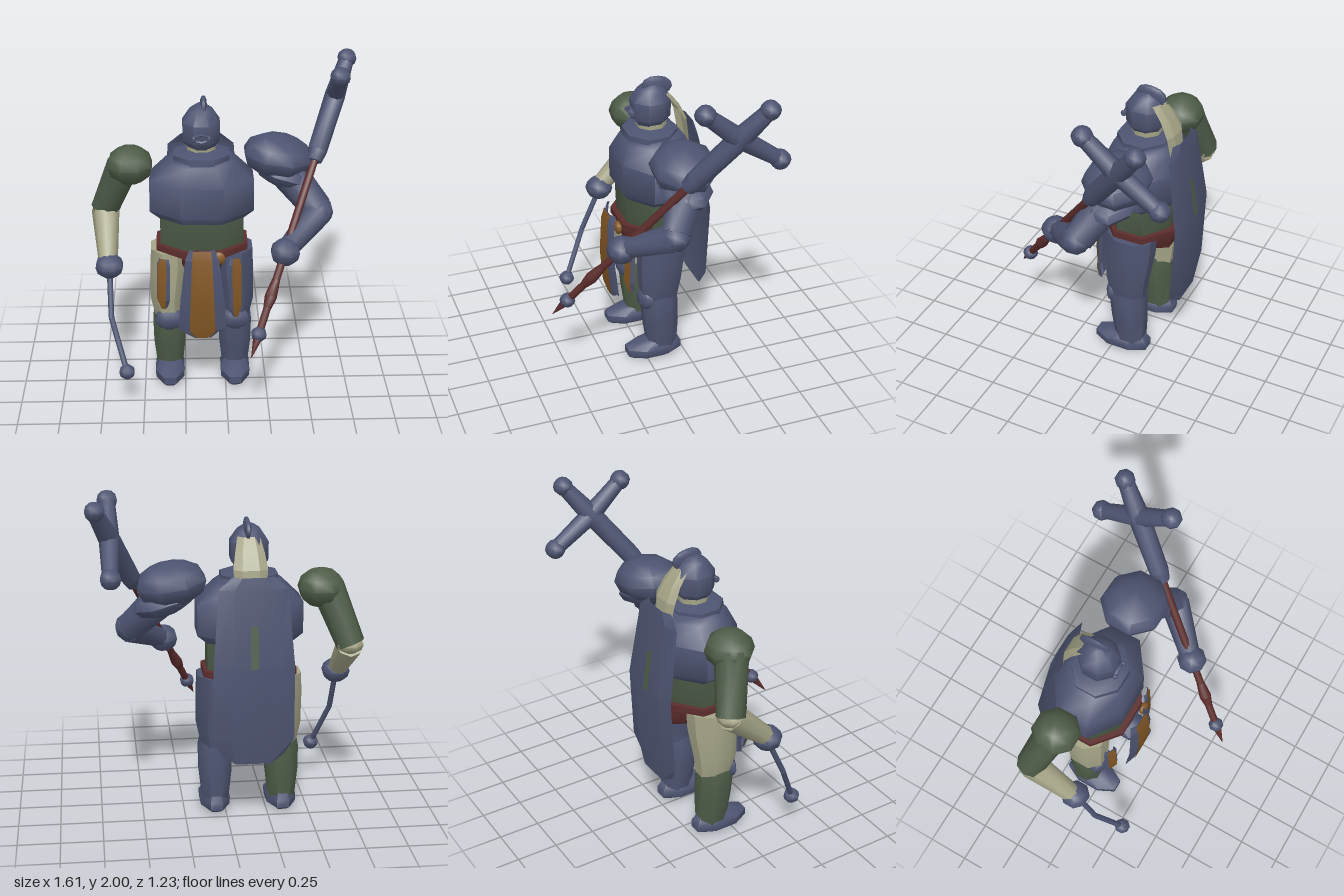
import * as THREE from 'three';
import { toCreasedNormals } from 'three/addons/utils/BufferGeometryUtils.js';

const V = (p) => new THREE.Vector3(...p);

export function createModel() {
  const model = new THREE.Group();
  model.name = 'armouredFighter';
  const mat = (name, color) => {
    const m = new THREE.MeshStandardMaterial({ color, side: THREE.DoubleSide });
    m.name = name;
    return m;
  };
  const steel = mat('steelBlue', 0x4d5471);
  const green = mat('mossGreen', 0x4d5c47);
  const cream = mat('paleCream', 0xa5a487);
  const red = mat('darkRed', 0x5c2d2c);
  const gold = mat('ochre', 0x835724);

  const add = (name, geo, material, crease = 0.85) => {
    const mesh = new THREE.Mesh(toCreasedNormals(geo, crease), material);
    mesh.name = name;
    model.add(mesh);
    return mesh;
  };

  // closed body through elliptical rings [x, y, z, rx, rz], listed bottom to top
  const loft = (name, material, rings, n = 8) => {
    const pos = [], idx = [], k = 1 / Math.cos(Math.PI / n);
    for (const [x, y, z, rx, rz] of rings) {
      for (let i = 0; i < n; i++) {
        const a = ((i + 0.5) / n) * Math.PI * 2;
        pos.push(x + Math.sin(a) * rx * k, y, z + Math.cos(a) * rz * k);
      }
    }
    const last = (rings.length - 1) * n, c0 = rings.length * n;
    const top = rings[rings.length - 1];
    pos.push(...rings[0].slice(0, 3), ...top.slice(0, 3));
    for (let i = 0; i < n; i++) {
      const j = (i + 1) % n;
      for (let r = 0; r < last; r += n) idx.push(r + i, r + j, r + n + j, r + i, r + n + j, r + n + i);
      idx.push(c0, j, i, c0 + 1, last + i, last + j);
    }
    const g = new THREE.BufferGeometry();
    g.setAttribute('position', new THREE.Float32BufferAttribute(pos, 3));
    g.setIndex(idx);
    return add(name, g, material);
  };

  // tapered cylinder between two points
  const limb = (name, material, a, b, ra, rb) => {
    const d = V(b).sub(V(a));
    const g = new THREE.CylinderGeometry(rb, ra, d.length(), 8);
    g.applyQuaternion(new THREE.Quaternion().setFromUnitVectors(new THREE.Vector3(0, 1, 0), d.normalize()));
    const c = V(a).add(V(b)).multiplyScalar(0.5);
    return add(name, g.translate(c.x, c.y, c.z), material);
  };

  const ball = (name, material, p, rx, ry = rx, rz = rx) => {
    const g = new THREE.SphereGeometry(1, 8, 6).rotateY(Math.PI / 8).scale(rx * 1.06, ry, rz * 1.06);
    const m = add(name, g, material);
    m.position.set(...p);
    return m;
  };

  // thin hanging panel: rows are [y, z, halfWidth]; the edges fold by "fold", the bottom is pointed by "point"
  const panel = (name, material, x, rows, fold, point, inner = 0.5) => {
    const pos = [], idx = [], cols = [-1, -inner, inner, 1];
    rows.forEach(([y, z, w], r) => cols.forEach((c) => {
      const edge = Math.abs(c) === 1;
      pos.push(c * w, y + (edge && r === rows.length - 1 ? point : 0), z + (edge ? fold : 0));
    }));
    for (let r = 0; r < rows.length - 1; r++) {
      for (let c = 0; c < 3; c++) {
        const a = r * 4 + c;
        idx.push(a, a + 4, a + 5, a, a + 5, a + 1);
      }
    }
    const g = new THREE.BufferGeometry();
    g.setAttribute('position', new THREE.Float32BufferAttribute(pos, 3));
    g.setIndex(idx);
    const m = add(name, g, material, 0.3);
    m.position.x = x;
    return m;
  };

  // torso
  const cx = -0.14, cz = -0.115;
  loft('belly', green, [[cx, 0.85, cz, 0.22, 0.17], [cx, 0.9, cz, 0.25, 0.19], [cx, 1.11, cz, 0.25, 0.2]]);
  loft('breastplate', steel, [
    [cx, 1.08, cz, 0.24, 0.19], [cx, 1.14, cz, 0.31, 0.225], [cx, 1.33, cz, 0.31, 0.225],
    [cx, 1.44, cz, 0.2, 0.18], [cx, 1.47, cz, 0.16, 0.15]]);
  loft('collar', steel, [
    [cx, 1.42, -0.1, 0.11, 0.12], [cx, 1.45, -0.1, 0.165, 0.155], [cx, 1.49, -0.1, 0.165, 0.15], [cx, 1.51, -0.1, 0.1, 0.1]]);
  loft('belt', red, [[cx, 0.885, cz, 0.275, 0.225], [cx, 0.925, cz, 0.275, 0.225]]);
  loft('hips', red, [[cx, 0.73, cz, 0.1, 0.17], [cx, 0.8, cz, 0.15, 0.19], [cx, 0.9, cz, 0.17, 0.19]]);

  // head
  loft('neck', cream, [[cx, 1.45, -0.11, 0.085, 0.085], [cx, 1.56, -0.11, 0.085, 0.085]]);
  loft('helmet', steel, [
    [cx, 1.525, -0.105, 0.075, 0.08], [cx, 1.57, -0.105, 0.108, 0.11], [cx, 1.68, -0.105, 0.11, 0.115],
    [cx, 1.75, -0.11, 0.065, 0.075], [cx, 1.78, -0.115, 0.025, 0.03]]);
  ball('helmetCrest', steel, [-0.125, 1.76, -0.14], 0.022, 0.06, 0.095).rotation.x = -0.15;
  const mouth = add('mouthGuard', new THREE.TorusGeometry(0.035, 0.012, 5, 8), steel);
  mouth.scale.set(1.15, 0.6, 1);
  mouth.position.set(cx, 1.61, 0.015);
  for (const s of [-1, 1]) ball('mouthStud', steel, [cx + s * 0.045, 1.61, 0.022], 0.013, 0.02, 0.016);
  const hairRows = [[1.72, -0.2, 0.065], [1.64, -0.265, 0.085], [1.55, -0.31, 0.1], [1.38, -0.335, 0.08]];
  panel('hair', cream, -0.13, hairRows, 0.025, 0);

  // cape with its badge strip
  const capeRows = [[1.52, -0.352, 0.12], [1.45, -0.365, 0.2], [1.0, -0.43, 0.235], [0.55, -0.41, 0.24], [0.4, -0.392, 0.185]];
  panel('cape', steel, cx, capeRows, 0.025, 0.05, 0.55);
  panel('capeStrip', green, cx, [[1.25, -0.4, 0.022], [1.0, -0.437, 0.022]], 0, 0);

  // tabard and tassets
  const rows = [[0.96, 0.165, 0.075], [0.9, 0.182, 0.1], [0.65, 0.192, 0.13], [0.43, 0.172, 0.145], [0.38, 0.16, 0.1]];
  panel('tabard', steel, -0.143, rows, -0.025, 0.03, 0.5);
  panel('tabardStripe', gold, -0.143, rows.map(([y, z, w], i) => [y, z + 0.006, [0.055, 0.06, 0.07, 0.078, 0.05][i]]), 0, 0.012);
  for (const [name, x, bottom, turn] of [['right', -0.375, 0.55, -0.45], ['left', 0.06, 0.49, 0.35]]) {
    const h = 0.88 - bottom;
    const r = [[0.88, 0, 0.03], [0.84, 0.01, 0.044], [0.88 - h * 0.8, 0.02, 0.044], [bottom, 0.005, 0.022]];
    const a = panel(name + 'Tasset', steel, x, r, -0.015, 0.01, 0.6);
    const b = panel(name + 'TassetInlay', gold, x, r.map(([y, z, w]) => [y, z + 0.005, w * 0.65]), 0, 0.01);
    for (const p of [a, b]) { p.position.z = 0.095; p.rotation.y = turn; }
  }
  ball('buckle', gold, [-0.045, 0.9, 0.135], 0.04, 0.042, 0.022);

  // legs
  for (const [side, x, out, thighMat, shinMat] of [['right', -0.345, -1, cream, green], ['left', 0.06, 1, steel, steel]]) {
    loft(side + 'Thigh', thighMat, [
      [x, 0.43, -0.09, 0.085, 0.11], [x + out * 0.01, 0.55, -0.09, 0.1, 0.125],
      [x - out * 0.005, 0.75, -0.105, 0.115, 0.14], [x - out * 0.01, 0.88, -0.11, 0.115, 0.14]]);
    loft(side + 'Shin', shinMat, [
      [x, 0.07, -0.11, 0.078, 0.09], [x, 0.25, -0.1, 0.097, 0.105], [x, 0.4, -0.09, 0.1, 0.11], [x, 0.48, -0.09, 0.085, 0.1]]);
    ball(side + 'Knee', steel, [x, 0.43, -0.005], 0.085, 0.078, 0.05);
    loft(side + 'Foot', steel, [
      [x, 0, -0.05, 0.055, 0.13], [x, 0.03, -0.055, 0.088, 0.173],
      [x, 0.075, -0.055, 0.09, 0.173], [x, 0.115, -0.09, 0.065, 0.11], [x, 0.13, -0.11, 0.05, 0.06]]);
  }

  // right arm with a thin bent club
  ball('rightShoulder', green, [-0.565, 1.395, -0.14], 0.135, 0.118, 0.135);
  limb('rightUpperArm', green, [-0.73, 1.07, -0.235], [-0.6, 1.4, -0.15], 0.085, 0.1);
  ball('rightElbow', cream, [-0.725, 1.07, -0.23], 0.078, 0.06, 0.078);
  limb('rightForearm', cream, [-0.705, 0.84, 0.02], [-0.725, 1.07, -0.23], 0.058, 0.085);
  ball('rightHand', steel, [-0.698, 0.815, 0.04], 0.083, 0.075, 0.083);
  const club = [[-0.698, 0.8, 0.04], [-0.69, 0.53, 0.165], [-0.6, 0.235, 0.305]];
  for (let i = 0; i < 2; i++) limb('clubRod', steel, club[i + 1], club[i], 0.017, 0.017);
  ball('clubHead', steel, club[2], 0.046);

  // left arm
  ball('leftPauldron', steel, [0.315, 1.445, -0.14], 0.205, 0.13, 0.188).rotation.z = -0.16;
  ball('leftLowerPauldron', steel, [0.36, 1.34, -0.13], 0.18, 0.085, 0.15).rotation.z = -0.3;
  limb('leftUpperArm', steel, [0.55, 1.15, -0.01], [0.37, 1.35, -0.12], 0.09, 0.11);
  ball('leftElbow', steel, [0.555, 1.145, 0], 0.085);
  limb('leftForearm', steel, [0.36, 1.005, 0.22], [0.555, 1.14, 0], 0.062, 0.088);
  ball('leftHand', steel, [0.342, 0.99, 0.245], 0.085, 0.082, 0.085);

  // long cross-headed staff, measured by the fraction t from tip to top
  const tip = V([0.13, 0.495, 0.61]), top = V([0.745, 1.945, -0.455]);
  const at = (t) => tip.clone().lerp(top, t).toArray();
  const staff = (name, m, t0, t1, r0, r1) => limb(name, m, at(t0), at(t1), r0, r1);
  staff('staffTip', red, 0, 0.07, 0.002, 0.03);
  staff('staffShaft', red, 0.05, 0.68, 0.022, 0.024);
  staff('staffSwellLower', red, 0.16, 0.195, 0.024, 0.036);
  staff('staffSwellUpper', red, 0.195, 0.25, 0.036, 0.024);
  ball('staffCollar', steel, at(0.075), 0.044);
  staff('staffSocket', steel, 0.645, 0.68, 0.045, 0.058);
  staff('staffHead', steel, 0.68, 0.87, 0.058, 0.062);
  staff('staffHeadTop', steel, 0.87, 1, 0.062, 0.045);
  const hub = at(0.873), ends = [[0.67, 1.935, -0.115], [0.67, 1.595, -0.565]];
  for (const e of ends) {
    limb('crossArm', steel, hub, e, 0.058, 0.045);
    ball('crossArmKnob', steel, e, 0.058);
  }
  ball('staffKnob', steel, at(1), 0.056);

  return model;
}
